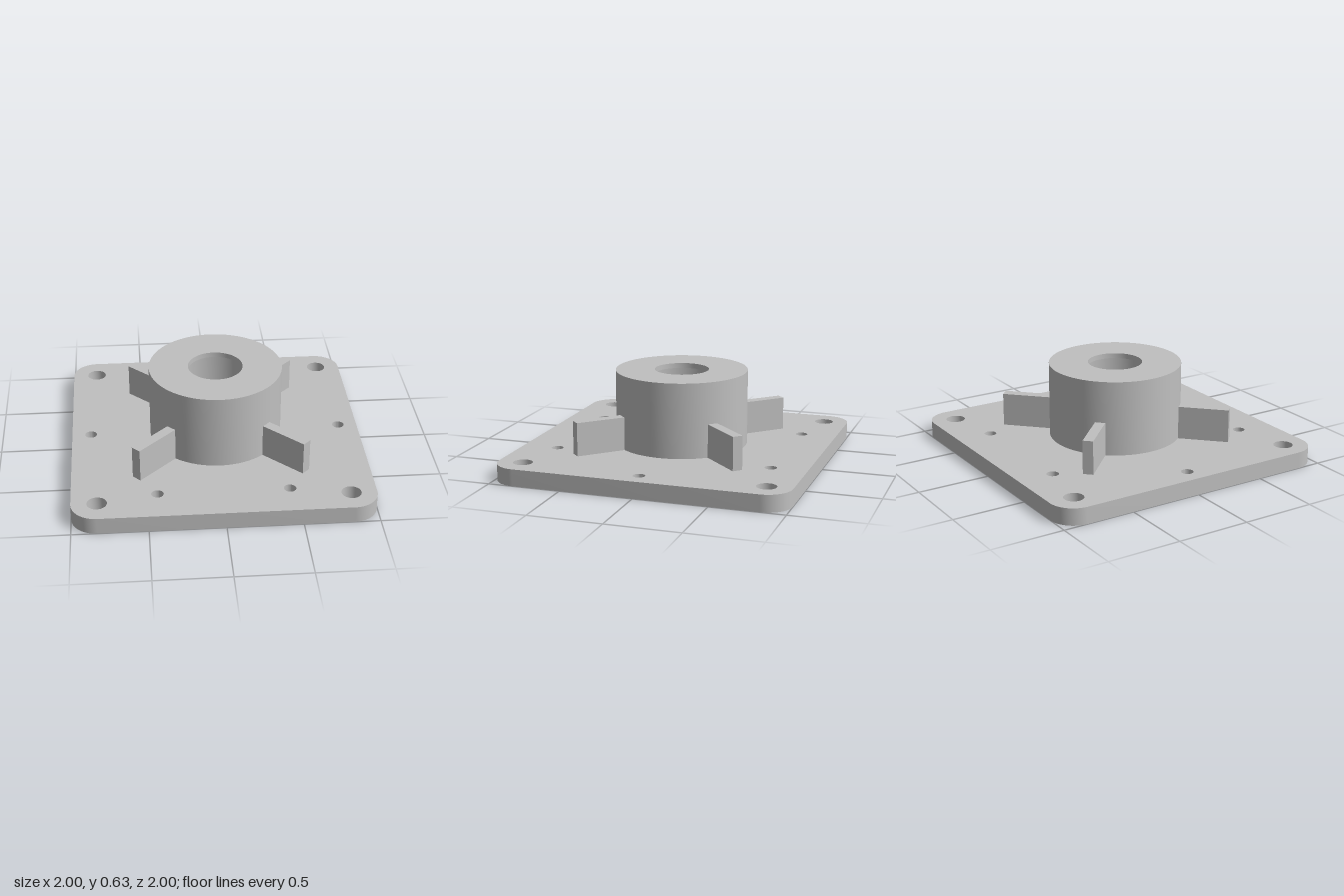
import * as THREE from 'three';
import { toCreasedNormals } from 'three/addons/utils/BufferGeometryUtils.js';

const PLATE_H = 0.115, HUB_R = 0.455, HUB_TOP = 0.63;
const RECESS_R = 0.65, RECESS_H = 0.1;

function circle(x, y, r, segments = 32) {
  const pts = [];
  for (let i = 0; i < segments; i++) {
    const a = (i / segments) * Math.PI * 2;
    pts.push(new THREE.Vector2(x + r * Math.cos(a), y + r * Math.sin(a)));
  }
  return new THREE.Path(pts);
}

// Rounded square with four corner holes, six holes on a bolt circle and an optional centre hole
function plateShape(centreR) {
  const c = 0.83, r = 0.17, s = new THREE.Shape();
  s.absarc(c, c, r, 0, Math.PI / 2);
  s.absarc(-c, c, r, Math.PI / 2, Math.PI);
  s.absarc(-c, -c, r, Math.PI, Math.PI * 1.5);
  s.absarc(c, -c, r, Math.PI * 1.5, Math.PI * 2);
  for (const x of [-c, c]) for (const y of [-c, c]) s.holes.push(circle(x, y, 0.066));
  for (let i = 0; i < 6; i++) {
    const a = (i * Math.PI) / 3;
    s.holes.push(circle(0.87 * Math.cos(a), 0.87 * Math.sin(a), 0.041));
  }
  if (centreR) s.holes.push(circle(0, 0, centreR, 72));
  return s;
}

export function createModel() {
  const model = new THREE.Group();
  model.name = 'flangedBearingHousing';
  const metal = new THREE.MeshStandardMaterial({ color: 0xc0c0c0 });
  metal.name = 'greyMetal';

  const add = (name, geometry, parent = model) => {
    const mesh = new THREE.Mesh(geometry, metal);
    mesh.name = name;
    parent.add(mesh);
    return mesh;
  };

  // Base plate: top face, underside around the recess, and the upright rim and hole walls
  const plate = new THREE.Group();
  plate.name = 'basePlate';
  model.add(plate);
  const top = new THREE.ShapeGeometry(plateShape(HUB_R), 12).rotateX(-Math.PI / 2);
  add('plateTop', top.translate(0, PLATE_H, 0), plate);
  add('plateUnderside', new THREE.ShapeGeometry(plateShape(RECESS_R), 12).rotateX(Math.PI / 2), plate);

  const solid = new THREE.ExtrudeGeometry(plateShape(0), { depth: PLATE_H, bevelEnabled: false, curveSegments: 12 });
  const sides = solid.groups[1];
  const walls = new THREE.BufferGeometry();
  walls.setAttribute('position', new THREE.BufferAttribute(
    solid.attributes.position.array.slice(sides.start * 3, (sides.start + sides.count) * 3), 3));
  walls.rotateX(-Math.PI / 2);
  add('plateWalls', toCreasedNormals(walls, 0.6), plate);

  // Hub: outer wall, lipped bore with a wider seat inside, then the shallow recess underneath
  const profile = [
    [HUB_R, PLATE_H], [HUB_R, HUB_TOP],
    [0.187, HUB_TOP], [0.187, 0.595],
    [0.29, 0.595], [0.29, 0.135],
    [0.215, 0.135], [0.215, RECESS_H],
    [RECESS_R, RECESS_H], [RECESS_R, 0],
  ].map(([x, y]) => new THREE.Vector2(x, y));
  add('hub', toCreasedNormals(new THREE.LatheGeometry(profile, 72), 0.6));

  // Four diagonal ribs bracing the hub
  const inner = 0.43, outer = 0.8, ribTop = 0.345;
  for (let i = 0; i < 4; i++) {
    const rib = new THREE.BoxGeometry(outer - inner, ribTop - PLATE_H, 0.07);
    rib.translate((inner + outer) / 2, (ribTop + PLATE_H) / 2, 0);
    add('rib' + (i + 1), rib.rotateY(Math.PI / 4 + (i * Math.PI) / 2));
  }
  return model;
}
